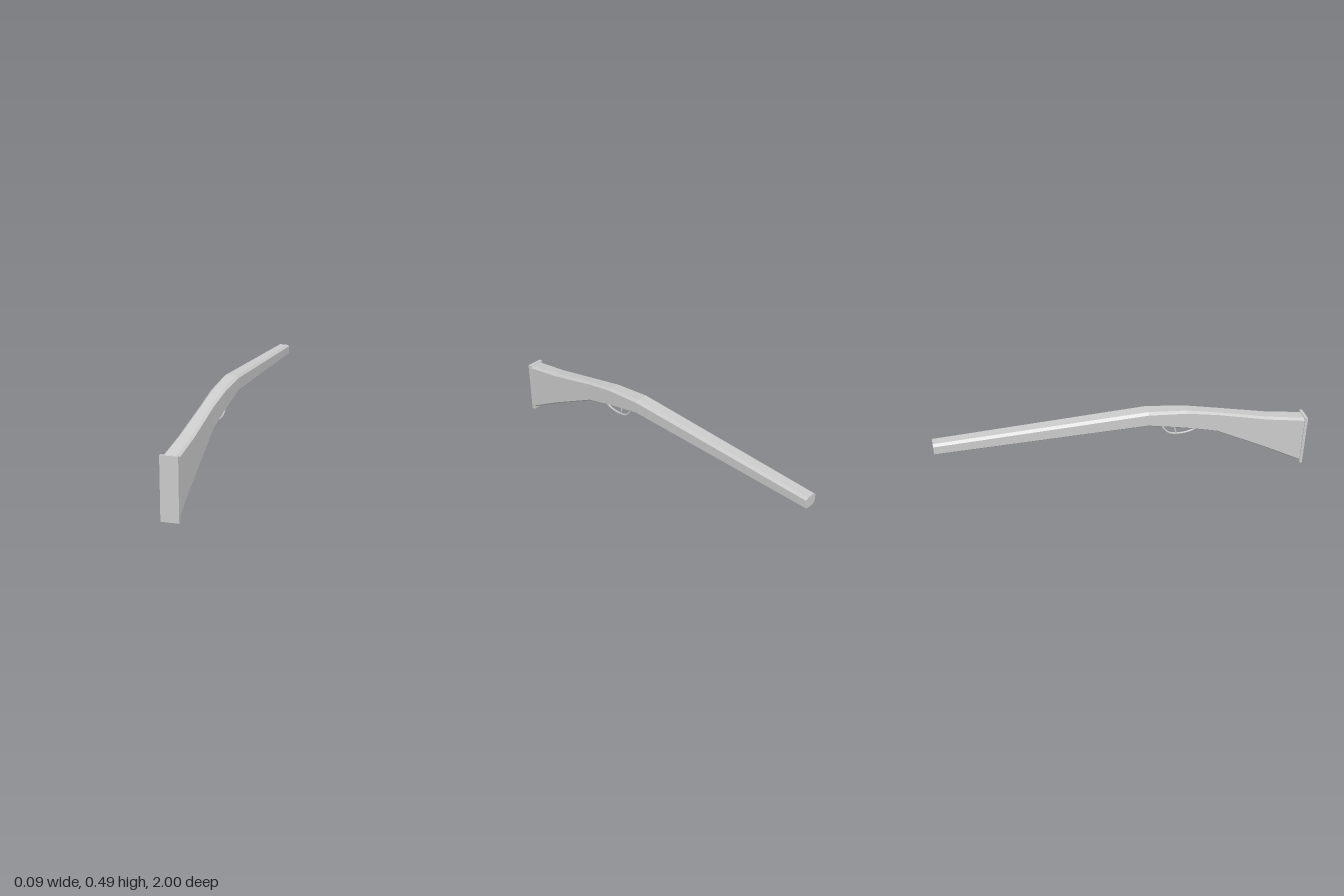
import * as THREE from 'three';

const grey = new THREE.MeshStandardMaterial({ color: 0xcccccc });

// Chamfered eight-sided cross-section, counter-clockwise seen from the front
function section([z, top, bottom, half, flat, chamfer]) {
  const lo = bottom + chamfer, hi = top - chamfer;
  return [
    [flat, bottom], [half, lo], [half, hi], [flat, top],
    [-flat, top], [-half, hi], [-half, lo], [-flat, bottom],
  ].map(([x, y]) => [x, y, z]);
}

// Faceted closed loft through cross-sections listed from front to back
function loft(stations) {
  const rings = stations.map(section), n = rings[0].length, pos = [];
  const tri = (a, b, c) => pos.push(...a, ...b, ...c);
  for (let i = 0; i < rings.length - 1; i++) {
    for (let j = 0; j < n; j++) {
      const k = (j + 1) % n;
      const a = rings[i][j], b = rings[i][k], c = rings[i + 1][j], d = rings[i + 1][k];
      tri(a, c, b);
      tri(b, c, d);
    }
  }
  const first = rings[0], last = rings[rings.length - 1];
  for (let j = 1; j < n - 1; j++) {
    tri(first[0], first[j], first[j + 1]);
    tri(last[0], last[j + 1], last[j]);
  }
  const g = new THREE.BufferGeometry();
  g.setAttribute('position', new THREE.Float32BufferAttribute(pos, 3));
  g.computeVertexNormals();
  return g;
}

export function createModel() {
  const model = new THREE.Group();
  const add = (name, geometry) => {
    const mesh = new THREE.Mesh(geometry, grey);
    mesh.name = name;
    model.add(mesh);
    return mesh;
  };

  // Stock and barrel: z, top, bottom, half width, half flat width, chamfer
  add('stockAndBarrel', loft([
    [0.99, 0.300, 0.008, 0.040, 0.028, 0.012],
    [0.77, 0.345, 0.140, 0.038, 0.025, 0.011],
    [0.48, 0.422, 0.300, 0.034, 0.022, 0.010],
    [0.31, 0.464, 0.352, 0.038, 0.024, 0.011],
    [0.10, 0.493, 0.404, 0.042, 0.028, 0.013],
    [-1.00, 0.485, 0.420, 0.035, 0.022, 0.011],
  ]));

  // Butt plate
  add('buttPlate', new THREE.BoxGeometry(0.088, 0.305, 0.016)).position.set(0, 0.1525, 0.992);

  // Trigger guard: a thin bow below the stock
  const bow = new THREE.CatmullRomCurve3([
    [0.388, 0.337], [0.355, 0.315], [0.29, 0.305], [0.225, 0.319], [0.185, 0.364],
  ].map(([z, y]) => new THREE.Vector3(0, y, z)));
  add('triggerGuard', new THREE.TubeGeometry(bow, 14, 0.0055, 6));

  // Trigger
  const lever = new THREE.CatmullRomCurve3([
    [0.248, 0.38], [0.255, 0.345], [0.264, 0.31],
  ].map(([z, y]) => new THREE.Vector3(0, y, z)));
  add('trigger', new THREE.TubeGeometry(lever, 6, 0.005, 6));

  return model;
}
